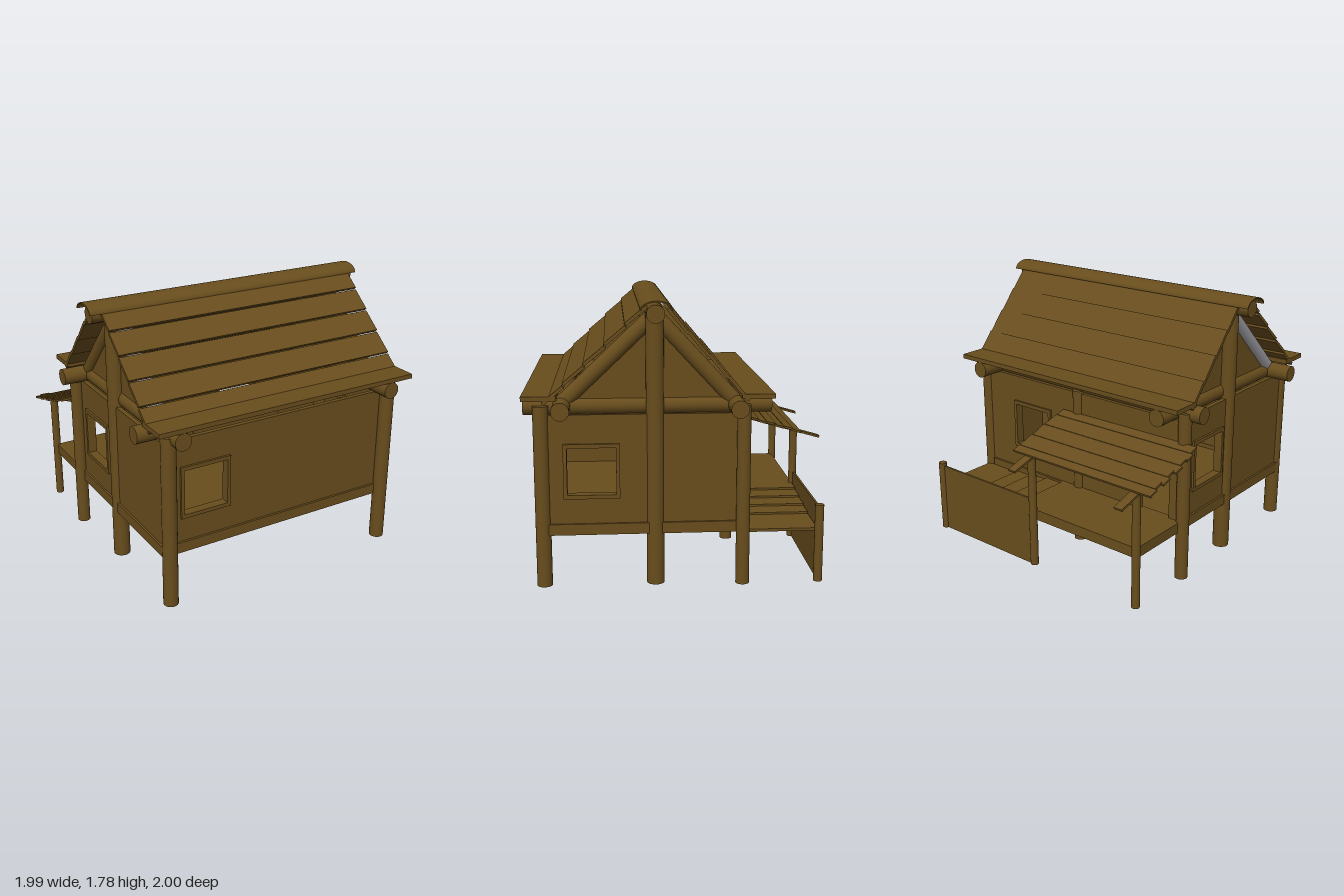
import * as THREE from 'three';

export function createModel() {
  const model = new THREE.Group();
  const wood = new THREE.MeshStandardMaterial({ color: 0x684d1d });
  wood.name = 'brown wood';
  const grey = new THREE.MeshStandardMaterial({ color: 0x9a9aa0 });
  grey.name = 'weathered grey';

  const add = (name, geo, mat = wood) => {
    const m = new THREE.Mesh(geo, mat);
    m.name = name;
    model.add(m);
    return m;
  };
  // axis-aligned box from min/max ranges
  const box = (name, [x0, x1], [y0, y1], [z0, z1]) => {
    const m = add(name, new THREE.BoxGeometry(x1 - x0, y1 - y0, z1 - z0));
    m.position.set((x0 + x1) / 2, (y0 + y1) / 2, (z0 + z1) / 2);
    return m;
  };
  // round log between two points
  const log = (name, a, b, r, mat) => {
    const p = new THREE.Vector3(...a), q = new THREE.Vector3(...b);
    const d = q.clone().sub(p);
    const m = add(name, new THREE.CylinderGeometry(r, r, d.length(), 24), mat);
    m.position.copy(p).add(q).multiplyScalar(0.5);
    m.quaternion.setFromUnitVectors(new THREE.Vector3(0, 1, 0), d.normalize());
    return m;
  };
  const post = (name, x, z, h, r) => log(name, [x, 0, z], [x, h, z], r);
  // board spanning x, sloping between two [z, y] points
  const slat = (name, [x0, x1], [z0, y0], [z1, y1], t) => {
    const dz = z1 - z0, dy = y1 - y0;
    const m = add(name, new THREE.BoxGeometry(x1 - x0, t, Math.hypot(dz, dy)));
    m.position.set((x0 + x1) / 2, (y0 + y1) / 2, (z0 + z1) / 2);
    m.rotation.x = Math.atan2(-dy, dz);
    return m;
  };
  const rect = (C, [u0, u1, v0, v1]) => {
    const s = new C();
    s.moveTo(u0, v0); s.lineTo(u1, v0); s.lineTo(u1, v1); s.lineTo(u0, v1); s.closePath();
    return s;
  };
  // pierced panel; side panels use u = z and are turned to face x
  const panel = (name, outer, holes, depth, at, side) => {
    const s = rect(THREE.Shape, outer);
    for (const h of holes) s.holes.push(rect(THREE.Path, h));
    const g = new THREE.ExtrudeGeometry(s, { depth, bevelEnabled: false });
    g.translate(0, 0, -depth / 2);
    if (side) {
      g.rotateY(-Math.PI / 2);
      g.translate(at, 0, 0);
    } else g.translate(0, 0, at);
    return add(name, g);
  };

  // walls with openings and window frames
  const windowAt = c => [c - 0.15, c + 0.15, 0.585, 0.88];
  const frame = (c, at, side) => panel('windowFrame',
    [c - 0.173, c + 0.173, 0.56, 0.905], [windowAt(c)], 0.06, at, side);
  const door = [-0.76, -0.53, 0.4, 0.745];
  panel('frontWall', [-0.82, 0.82, 0.36, 1.085], [windowAt(-0.548)], 0.03, 0.855);
  panel('backWall', [-0.83, 0.83, 0.36, 1.085], [windowAt(0.415), door], 0.03, -0.345);
  panel('leftWall', [-0.34, 0.86, 0.36, 1.085], [windowAt(0.59)], 0.03, 0.826, true);
  panel('rightWall', [-0.34, 0.86, 0.36, 1.085], [windowAt(-0.05)], 0.03, -0.822, true);
  frame(-0.548, 0.855);
  frame(0.415, -0.345);
  frame(0.59, 0.826, true);
  frame(-0.05, -0.822, true);

  // floor and its edge beams
  box('floor', [-0.82, 0.82], [0.335, 0.37], [-0.34, 0.86]);
  box('frontFloorBeam', [-0.82, 0.82], [0.33, 0.4], [0.835, 0.885]);
  box('backFloorBeam', [-0.82, 0.82], [0.33, 0.4], [-0.375, -0.325]);
  for (const x of [-0.831, 0.835]) box('sideFloorBeam', [x - 0.02, x + 0.02], [0.33, 0.4], [-0.35, 0.87]);

  for (const s of [-1, 1]) {
    // supporting posts
    post('frontPost', s * 0.816 + 0.007, 0.893, 1.14, 0.048);
    post('backPost', s * 0.862 + 0.005, -0.342, 1.14, 0.043);
    post('ridgePost', s * 0.815 + 0.003, 0.2, 1.7, 0.055);
    // tie log and gable rafters
    log('tieLog', [s * 0.765, 1.13, -0.52], [s * 0.765, 1.13, 1], 0.055);
    log('frontGableRafter', [s * 0.775, 1.14, 0.77], [s * 0.775, 1.68, 0.2], 0.05, s < 0 ? grey : wood);
    log('backGableRafter', [s * 0.775, 1.14, -0.3], [s * 0.775, 1.68, 0.2], 0.05);
    // gable infill
    const tri = new THREE.Shape([[-0.3, 1.13], [0.77, 1.13], [0.2, 1.69]].map(p => new THREE.Vector2(...p)));
    const g = new THREE.ExtrudeGeometry(tri, { depth: 0.02, bevelEnabled: false });
    g.rotateY(-Math.PI / 2);
    g.translate(s * 0.785 + 0.01, 0, 0);
    add('gablePanel', g);
  }
  post('backMiddlePost', 0.005, -0.342, 1.1, 0.042);

  // logs running along the house
  log('wallPlateLog', [-0.97, 1.13, 0.767], [0.98, 1.13, 0.767], 0.055);
  log('wallPlateLog', [-0.97, 1.13, -0.303], [0.98, 1.13, -0.303], 0.055);
  log('ridgeLog', [-0.97, 1.7, 0.2], [0.98, 1.7, 0.2], 0.055);

  // roof boards: front ones raised at the lower edge, back ones at the upper
  const roofX = [-0.92, 0.93];
  const slope = (name, lo, hi, n, lowLift, highLift) => {
    const at = (t, up) => [lo[0] + (hi[0] - lo[0]) * t, lo[1] + (hi[1] - lo[1]) * t + up];
    for (let i = 0; i < n; i++) slat(name, roofX, at(i / n, lowLift), at((i + 1) / n, highLift), 0.02);
  };
  slope('frontRoofBoard', [0.872, 1.155], [0.25, 1.74], 5, 0.014, 0);
  slope('backRoofBoard', [-0.36, 1.175], [0.126, 1.715], 4, 0, 0.012);
  box('frontEaveBoard', roofX, [1.185, 1.215], [0.79, 1]);
  box('backEaveBoard', roofX, [1.185, 1.215], [-0.522, -0.32]);

  // curved ridge cap, a thin arched shell
  const arch = new THREE.Shape();
  arch.absellipse(0, 0, 0.098, 0.055, 0, Math.PI, false, 0);
  arch.absellipse(0, 0, 0.09, 0.047, Math.PI, 0, true, 0);
  const cap = new THREE.ExtrudeGeometry(arch, { depth: 1.99, bevelEnabled: false, curveSegments: 24 });
  cap.rotateY(Math.PI / 2);
  cap.translate(-1, 1.722, 0.193);
  add('ridgeCap', cap);

  // porch deck, its planks stepping down slightly towards the left end
  const deckEdges = [-0.85, 0.145, 0.295, 0.44, 0.58, 0.87];
  for (let i = 0; i < 5; i++) {
    box('deckPlank', [deckEdges[i], deckEdges[i + 1]], [0.33, 0.4 - i * 0.013], [-0.812, -0.36]);
  }

  // porch posts and solid fence
  post('porchPost', -0.85, -0.818, 0.8, 0.027);
  post('porchPost', 0, -0.818, 0.8, 0.027);
  post('fencePost', 0.87, -0.823, 0.5, 0.028);
  box('fencePanel', [0, 0.87], [0.002, 0.48], [-0.832, -0.818]);

  // porch roof: two rafters under ragged boards
  for (const x of [-0.855, 0]) slat('porchRafter', [x - 0.03, x + 0.03], [-0.35, 0.92], [-1, 0.735], 0.014);
  const ragged = [0, 0.012, -0.008, 0.01, -0.012, 0.006, -0.004, 0.014];
  ragged.forEach((r, i) => {
    const z = -0.85 + i * 0.06, y = 0.792 + i * 0.0175 + 0.004 * (i % 2);
    const board = slat('porchRoofBoard', [-0.975 + r, 0.13 - r / 2], [z, y], [z + 0.066, y + 0.0195], 0.014);
    board.rotation.y = r * 0.5;
  });

  return model;
}
